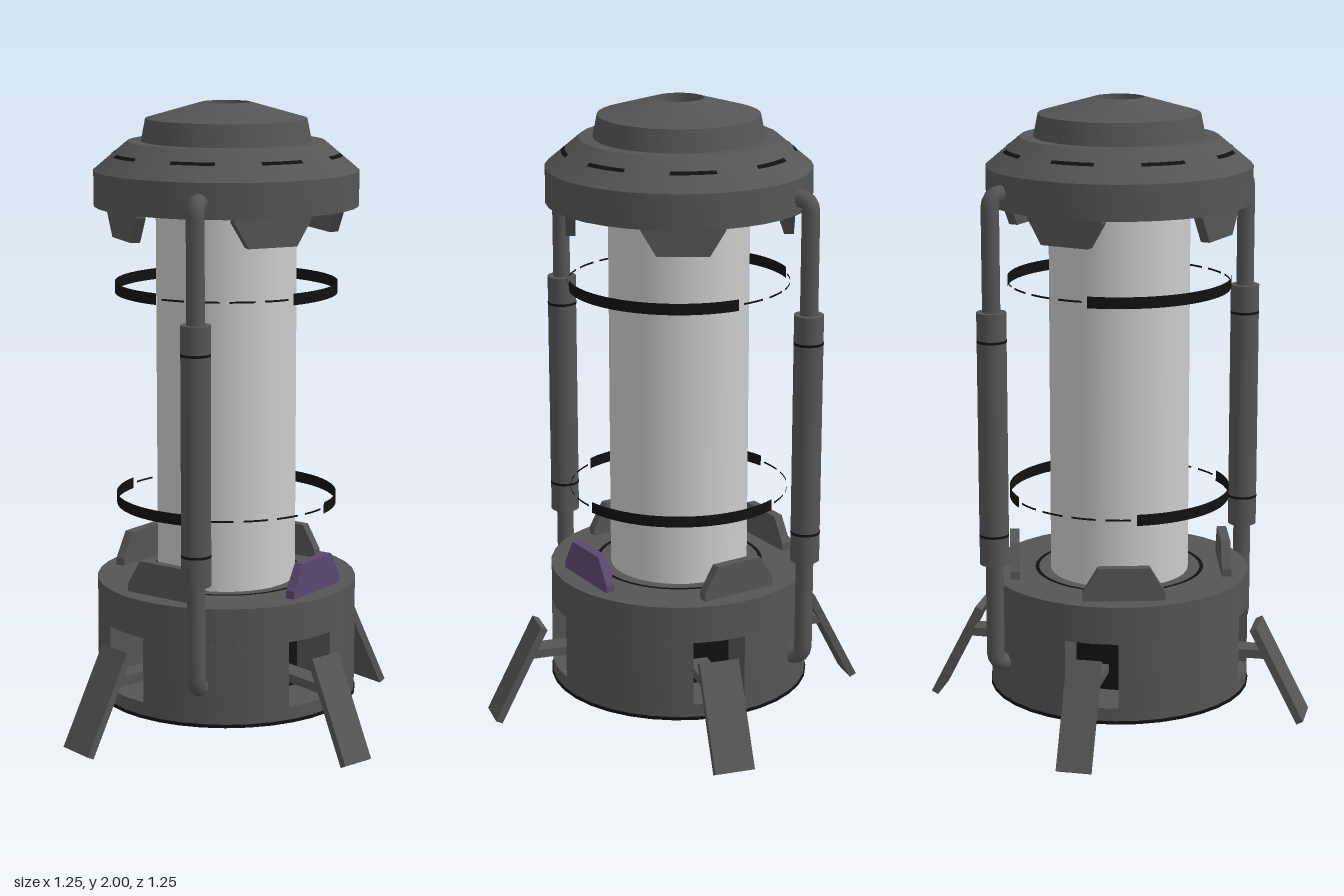
import * as THREE from 'three';
import { toCreasedNormals } from 'three/addons/utils/BufferGeometryUtils.js';

const SIDES = 36;
const deg = THREE.MathUtils.degToRad;
const mat = (color, side = THREE.FrontSide) => new THREE.MeshStandardMaterial({ color, side });
const light = mat(0xcccccc);
const dark = mat(0x555555);
const black = mat(0x111111, THREE.DoubleSide);
const purple = mat(0x5a486e);

function add(parent, name, geometry, material, x = 0, y = 0, z = 0) {
  const mesh = new THREE.Mesh(geometry, material);
  mesh.name = name;
  mesh.position.set(x, y, z);
  parent.add(mesh);
  return mesh;
}

// Closed drum between two heights
function drum(parent, name, r, y0, y1, material) {
  return add(parent, name, new THREE.CylinderGeometry(r, r, y1 - y0, SIDES), material, 0, (y0 + y1) / 2, 0);
}

// Thin open strip around the axis, angles in degrees from +z towards +x
function strip(parent, name, rTop, rBottom, y, h, start, length) {
  const steps = Math.max(3, Math.round(length / 5));
  const g = new THREE.CylinderGeometry(rTop, rBottom, h, steps, 1, true, deg(start), deg(length));
  return add(parent, name, g, black, 0, y, 0);
}

// Base drum whose middle band has four leg slots
function buildBase() {
  const base = new THREE.Group();
  base.name = 'base';
  const R = 0.417, half = 0.085, depth = 0.25, h = Math.asin(half / R);
  drum(base, 'baseLowerBand', R, 0.1, 0.15, dark);
  drum(base, 'baseUpperBand', R, 0.36, 0.48, dark);
  const pts = [];
  for (let k = 0; k < 4; k++) {
    const a0 = k * Math.PI / 2, a1 = a0 + Math.PI / 2;
    for (let i = 0; i <= 8; i++) {
      const a = THREE.MathUtils.lerp(a0 + h, a1 - h, i / 8);
      pts.push(new THREE.Vector2(R * Math.cos(a), R * Math.sin(a)));
    }
    for (const s of [-half, half]) {
      pts.push(new THREE.Vector2(depth, s).rotateAround(new THREE.Vector2(), a1));
    }
  }
  const g = new THREE.ExtrudeGeometry(new THREE.Shape(pts), { depth: 0.21, bevelEnabled: false });
  g.rotateX(-Math.PI / 2);
  add(base, 'baseSlottedBand', toCreasedNormals(g, 0.4), dark, 0, 0.15, 0);
  for (let k = 0; k < 4; k++) {
    const a = k * Math.PI / 2, r = depth + 0.003;
    const p = add(base, 'slotBack', new THREE.PlaneGeometry(0.17, 0.21), black, r * Math.sin(a), 0.255, r * Math.cos(a));
    p.rotation.y = a;
  }
  drum(base, 'bottomPlate', R + 0.003, 0.098, 0.108, black);
  const groove = add(base, 'topGroove', new THREE.RingGeometry(0.26, 0.272, 48), black, 0, 0.482, 0);
  groove.rotation.x = -Math.PI / 2;
  return base;
}

// Stepped cap with a hole in its crown and dashes on its slope
function buildCap() {
  const cap = new THREE.Group();
  cap.name = 'cap';
  const profile = [[0, 1.68], [0.417, 1.68], [0.417, 1.79], [0.31, 1.88], [0.267, 1.88],
    [0.253, 1.95], [0.077, 2], [0.077, 1.94], [0, 1.94]].map(p => new THREE.Vector2(...p));
  add(cap, 'capShell', toCreasedNormals(new THREE.LatheGeometry(profile, SIDES), 0.3), dark);
  drum(cap, 'capHoleFloor', 0.075, 1.938, 1.945, black);
  for (let k = 0; k < 8; k++) strip(cap, 'capDash', 0.354, 0.365, 1.84, 0.009, k * 45 - 22.5, 22.5);
  return cap;
}

// Four chamfered clamps around the glass; dir +1 points up, -1 down
function addClamps(parent, name, y, dir, turn) {
  const shape = new THREE.Shape([[-0.128, -0.01], [0.128, -0.01], [0.128, 0.025], [0.08, 0.105],
    [-0.08, 0.105], [-0.128, 0.025]].map(p => new THREE.Vector2(...p)));
  for (let k = 0; k < 4; k++) {
    const g = new THREE.ExtrudeGeometry(shape, { depth: 0.03, bevelEnabled: false });
    g.translate(0, 0, -0.015);
    if (dir < 0) g.rotateZ(Math.PI);
    const a = deg(turn + 90 * k);
    const clamp = add(parent, name, g, dir > 0 && k === 1 ? purple : dark, 0.338 * Math.sin(a), y, 0.338 * Math.cos(a));
    clamp.rotation.y = a;
  }
}

// Two opposite bands with dashed lines in the gaps
function addBands(parent, y, start) {
  for (const s of [start, start + 180]) {
    strip(parent, 'band', 0.352, 0.352, y, 0.036, s, 107);
    for (let i = 0; i < 4; i++) strip(parent, 'bandDash', 0.35, 0.35, y, 0.006, s + 110 + i * 18, 13);
  }
}

// Outer pipe: bent thin tube with a thick sleeve
function buildPipe(x, z) {
  const pipe = new THREE.Group();
  pipe.name = 'sidePipe';
  pipe.position.set(x, 0, z);
  pipe.rotation.y = Math.atan2(x, z);
  const v = (r, y) => new THREE.Vector3(0, y, r);
  const path = new THREE.CurvePath();
  path.add(new THREE.LineCurve3(v(-0.09, 0.23), v(-0.04, 0.23)));
  path.add(new THREE.QuadraticBezierCurve3(v(-0.04, 0.23), v(0, 0.23), v(0, 0.27)));
  path.add(new THREE.LineCurve3(v(0, 0.27), v(0, 1.69)));
  path.add(new THREE.QuadraticBezierCurve3(v(0, 1.69), v(0, 1.73), v(-0.04, 1.73)));
  path.add(new THREE.LineCurve3(v(-0.04, 1.73), v(-0.09, 1.73)));
  add(pipe, 'pipeTube', new THREE.TubeGeometry(path, 120, 0.028, 14), dark);
  drum(pipe, 'pipeSleeve', 0.046, 0.565, 1.37, dark);
  for (const y of [0.66, 1.28]) drum(pipe, 'sleeveSeam', 0.0468, y - 0.004, y + 0.004, black);
  return pipe;
}

// Splayed plank leg on a horizontal strut
function buildLeg(k) {
  const leg = new THREE.Group();
  leg.name = 'leg';
  leg.rotation.y = k * Math.PI / 2;
  const plank = add(leg, 'legPlank', new THREE.BoxGeometry(k % 2 ? 0.108 : 0.129, 0.344, 0.024), dark, -0.008, 0.16, 0.535);
  plank.rotation.x = -0.47;
  add(leg, 'legStrut', new THREE.BoxGeometry(0.07, 0.028, 0.255), dark, -0.008, 0.22, 0.375);
  return leg;
}

export function createModel() {
  const model = new THREE.Group();
  model.name = 'lantern';
  const body = new THREE.Group();
  body.name = 'body';
  body.position.set(-0.015, 0, 0.007);
  model.add(body);

  body.add(buildBase(), buildCap());
  drum(body, 'glassTube', 0.222, 0.47, 1.69, light);
  addClamps(body, 'lowerClamp', 0.48, 1, 14.5);
  addClamps(body, 'upperClamp', 1.69, -1, -16);
  addBands(body, 1.422, -94);
  addBands(body, 0.74, -69);

  model.add(buildPipe(0.27, 0.362), buildPipe(-0.325, -0.327));
  for (let k = 0; k < 4; k++) model.add(buildLeg(k));
  return model;
}
